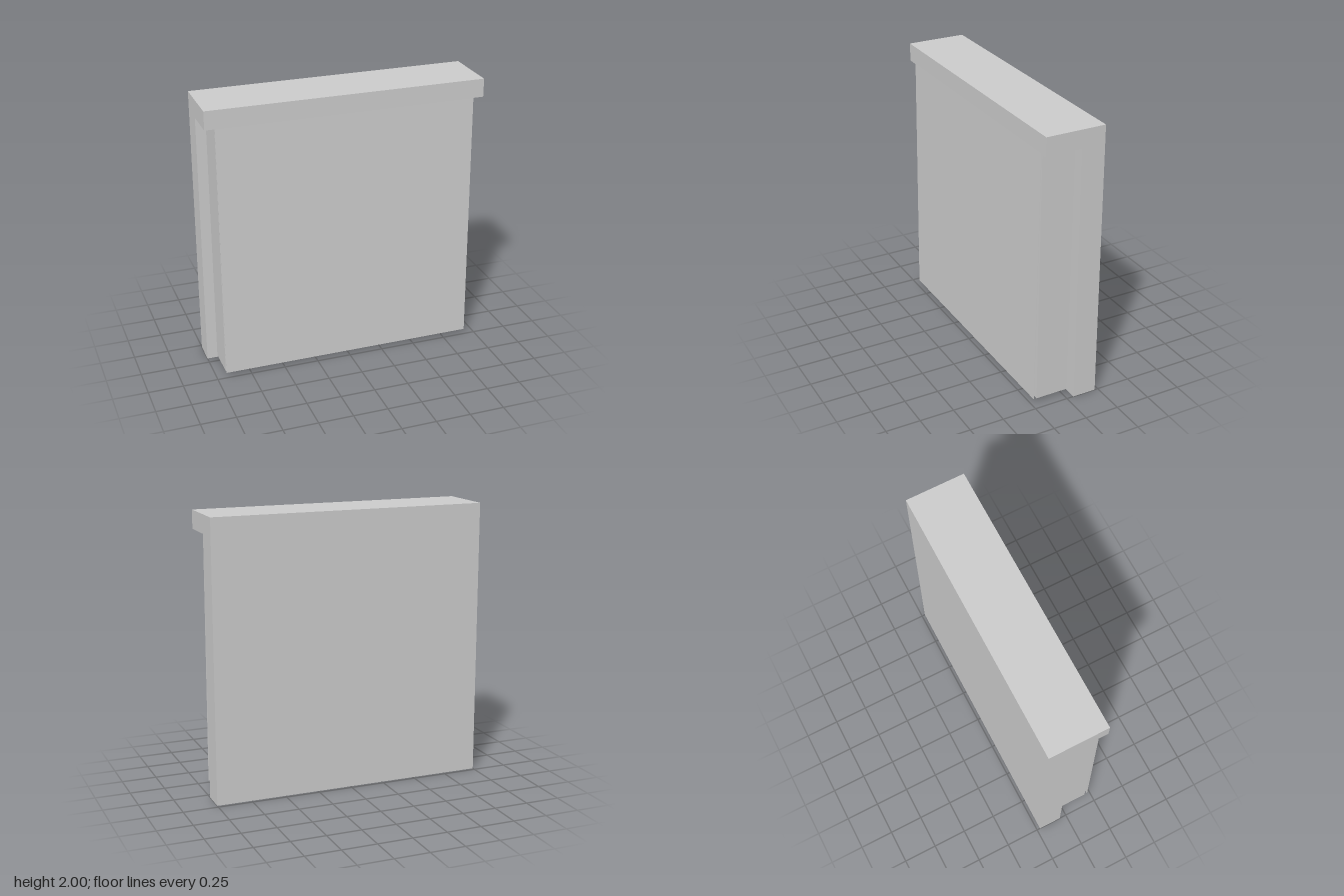
import * as THREE from 'three';

const material = new THREE.MeshStandardMaterial({ color: 0xcccccc, flatShading: true });

// Extrudes a [z, y] side profile across x, centred on x = 0
function sideProfile(name, points, width) {
  const shape = new THREE.Shape(points.map(([z, y]) => new THREE.Vector2(-z, y)));
  const geometry = new THREE.ExtrudeGeometry(shape, { depth: width, bevelEnabled: false });
  geometry.translate(0, 0, -width / 2);
  geometry.rotateY(Math.PI / 2);
  const mesh = new THREE.Mesh(geometry, material);
  mesh.name = name;
  return mesh;
}

export function createModel() {
  const group = new THREE.Group();
  group.name = 'overhangingPanel';

  // Back slab with the overhanging top ledge
  group.add(sideProfile('backSlabAndLedge', [
    [-0.225, 0], [-0.052, 0], [-0.052, 1.868], [0.206, 1.868], [0.206, 2], [-0.225, 2],
  ], 2));

  // Slightly leaning core block under the ledge
  group.add(sideProfile('coreBlock', [
    [-0.039, 0.025], [0.202, 0.025], [0.19, 1.868], [-0.051, 1.868],
  ], 1.857));

  // Thin front sheet, hung from the ledge and tilted away from the core
  group.add(sideProfile('frontSheet', [
    [0.222, 0.025], [0.225, 0.025], [0.198, 1.866], [0.195, 1.866],
  ], 1.857));

  return group;
}
